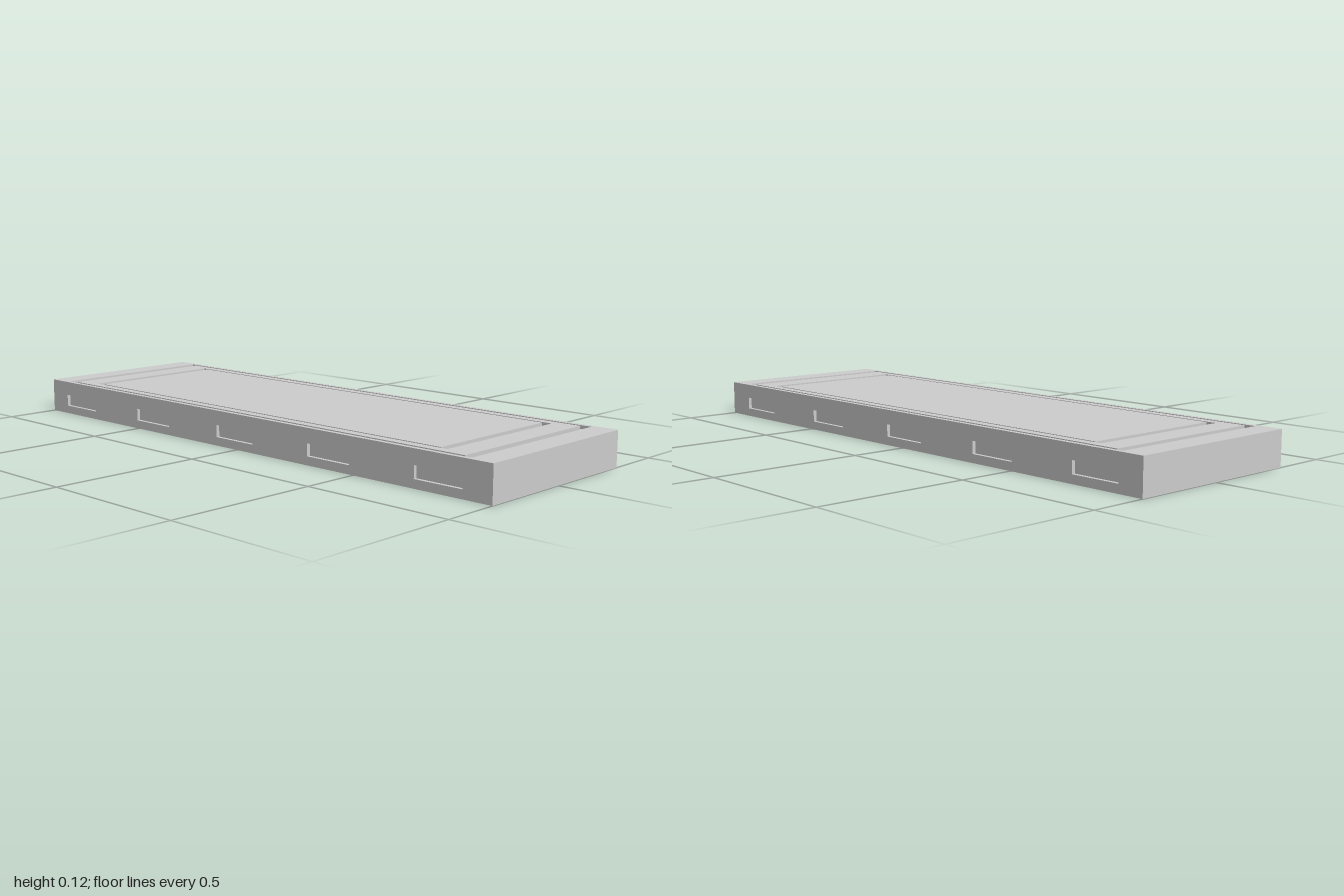
import * as THREE from 'three';

const HALF_W = 0.3125, HALF_L = 1, HEIGHT = 0.116;
const GROOVE = 0.012, SLOT = 0.012; // engraving depths
const BODY_H = HEIGHT - GROOVE;

// Rectangle outline as a Shape or a Path (for holes)
function rect(Type, x0, x1, y0, y1) {
  const r = new Type();
  r.moveTo(x0, y0);
  r.lineTo(x1, y0);
  r.lineTo(x1, y1);
  r.lineTo(x0, y1);
  r.closePath();
  return r;
}

export function createModel() {
  const group = new THREE.Group();
  const material = new THREE.MeshStandardMaterial({ color: 0xcccccc, flatShading: true });
  const add = (name, geometry) => {
    const mesh = new THREE.Mesh(geometry, material);
    mesh.name = name;
    group.add(mesh);
    return mesh;
  };

  // Solid core, narrower than the slab by the slot depth
  const core = new THREE.BoxGeometry(2 * (HALF_W - SLOT), BODY_H, 2 * HALF_L);
  add('core', core.translate(0, BODY_H / 2, 0));

  // Long side walls, each pierced by five slots
  for (const side of [1, -1]) {
    // shape x runs along -z after the quarter turn
    const wall = rect(THREE.Shape, -HALF_L, HALF_L, 0, BODY_H);
    for (const z of [0.815, 0.4, -0.01, -0.42, -0.83]) {
      wall.holes.push(rect(THREE.Path, -z - 0.085, -z + 0.085, 0.028, 0.068));
    }
    const geometry = new THREE.ExtrudeGeometry(wall, { depth: SLOT, bevelEnabled: false });
    geometry.rotateY(Math.PI / 2);
    geometry.translate(side > 0 ? HALF_W - SLOT : -HALF_W, 0, 0);
    add(side > 0 ? 'leftSlottedWall' : 'rightSlottedWall', geometry);
  }

  // Top layer: pieces separated by two engraved rectangular grooves
  const topPiece = (name, outer, inner) => {
    const shape = rect(THREE.Shape, -outer[0], outer[0], -outer[1], outer[1]);
    if (inner) shape.holes.push(rect(THREE.Path, -inner[0], inner[0], -inner[1], inner[1]));
    const geometry = new THREE.ExtrudeGeometry(shape, { depth: GROOVE, bevelEnabled: false });
    add(name, geometry.rotateX(-Math.PI / 2).translate(0, BODY_H, 0));
  };
  topPiece('topFrame', [HALF_W, HALF_L], [0.297, 0.917]);
  topPiece('topBorder', [0.286, 0.886], [0.257, 0.803]);
  topPiece('topPanel', [0.249, 0.774]);

  return group;
}
